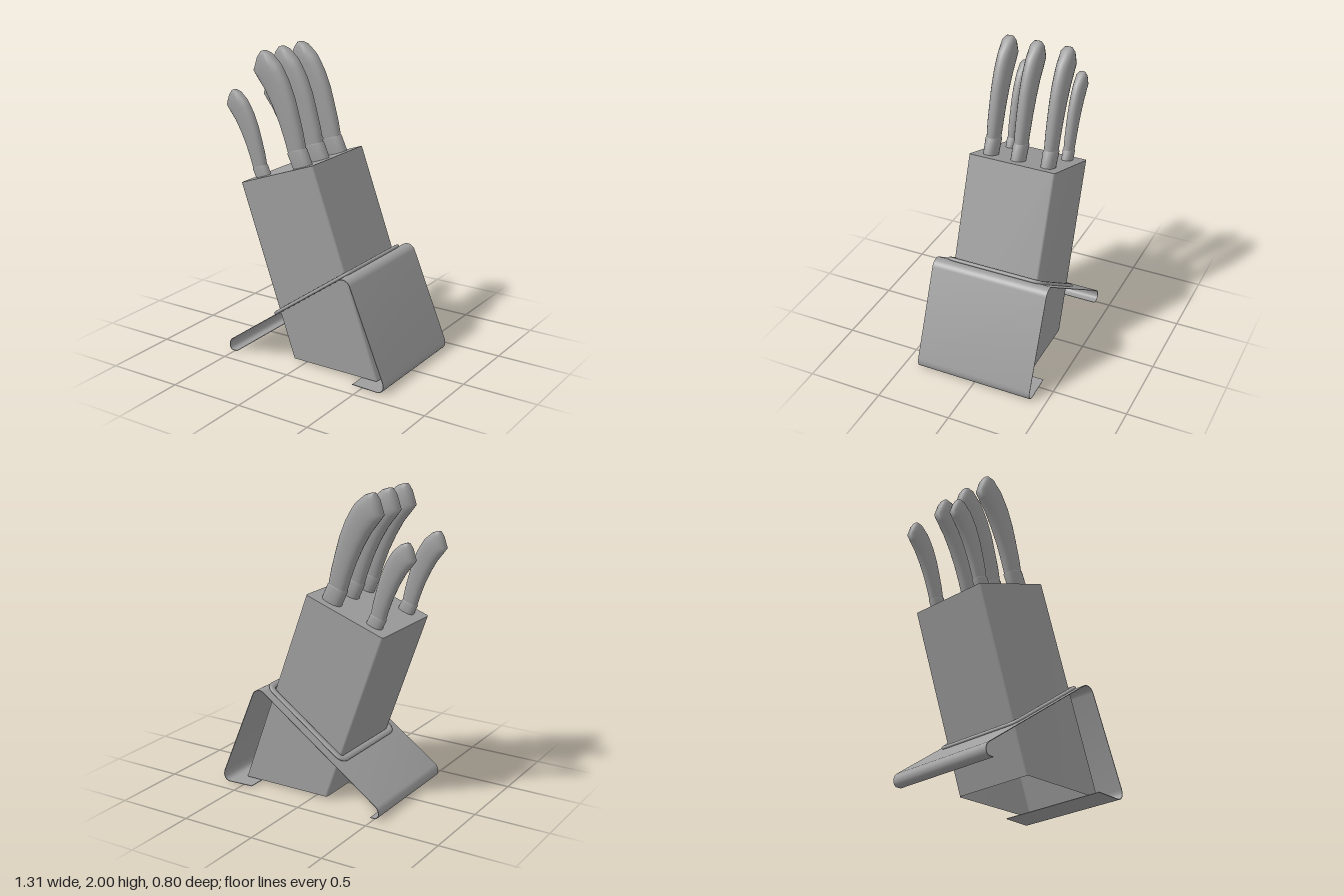
import * as THREE from 'three';
import { toCreasedNormals } from 'three/addons/utils/BufferGeometryUtils.js';

const darkGrey = new THREE.MeshStandardMaterial({ color: 0x9e9e9e });
const darkGreyOpen = new THREE.MeshStandardMaterial({ color: 0x9e9e9e, side: THREE.DoubleSide });

function add(parent, name, geometry, material = darkGrey) {
  const mesh = new THREE.Mesh(geometry, material);
  mesh.name = name;
  parent.add(mesh);
  return mesh;
}

// Unit outlines in [x, z], running from +x towards +z
function superellipse(n, power) {
  const f = (v) => Math.sign(v) * Math.abs(v) ** (2 / power);
  return Array.from({ length: n }, (_, i) => {
    const a = (i / n) * Math.PI * 2;
    return [f(Math.cos(a)), f(Math.sin(a))];
  });
}
function roundedSquare(r, steps) {
  const pts = [];
  [[1, 1], [-1, 1], [-1, -1], [1, -1]].forEach(([sx, sz], k) => {
    for (let i = 0; i <= steps; i++) {
      const a = (k + i / steps) * Math.PI / 2;
      pts.push([sx * (1 - r) + r * Math.cos(a), sz * (1 - r) + r * Math.sin(a)]);
    }
  });
  return pts;
}

// Skin over sections [leftX, leftY, rightX, rightY, halfDepth], listed upwards
function loft(sections, outline) {
  const pos = [], index = [], n = outline.length;
  for (const [lx, ly, rx, ry, w] of sections) {
    for (const [u, v] of outline) {
      pos.push((lx + rx) / 2 + u * (rx - lx) / 2, (ly + ry) / 2 + u * (ry - ly) / 2, v * w);
    }
  }
  for (let i = 0; i < sections.length - 1; i++) {
    for (let j = 0; j < n; j++) {
      const a = i * n + j, b = i * n + (j + 1) % n;
      index.push(a, a + n, b, b, a + n, b + n);
    }
  }
  const g = new THREE.BufferGeometry();
  g.setAttribute('position', new THREE.Float32BufferAttribute(pos, 3));
  g.setIndex(index);
  g.computeVertexNormals();
  return g;
}

// Leaning block, hollow and open underneath
function makeBlock() {
  const block = new THREE.Group();
  block.name = 'block';
  const outline = roundedSquare(0.05, 3);
  const top = [-0.49, 1.145, 0.06, 1.34, 0.295];
  add(block, 'blockWalls', loft([[-0.09, 0.015, 0.545, 0.015, 0.295], top], outline), darkGreyOpen);
  add(block, 'blockTop', loft([top, [-0.215, 1.2425, -0.215, 1.2425, 0]], outline));
  return block;
}

// Bent sheet stand: thin profile extruded across the depth
function makeStand() {
  const path = new THREE.Path();
  path.moveTo(-0.475, 0.008);
  path.lineTo(-0.505, 0.008);
  path.bezierCurveTo(-0.535, 0.008, -0.545, 0.06, -0.512, 0.088);
  path.lineTo(0.325, 0.681);
  path.bezierCurveTo(0.36, 0.7, 0.395, 0.68, 0.405, 0.655);
  path.lineTo(0.648, 0.075);
  path.bezierCurveTo(0.665, 0.03, 0.64, 0.002, 0.61, 0.002);
  path.lineTo(0.43, 0.008);
  const pts = path.getPoints(8);
  const side = (t) => pts.map((p, i) => {
    const d = pts[Math.min(i + 1, pts.length - 1)].clone().sub(pts[Math.max(i - 1, 0)]).normalize();
    return new THREE.Vector2(p.x - d.y * t, p.y + d.x * t);
  });
  const shape = new THREE.Shape([...side(-0.002), ...side(0.002).reverse()]);
  const g = new THREE.ExtrudeGeometry(shape, { depth: 0.8, bevelEnabled: false });
  g.translate(0, 0, -0.4);
  return toCreasedNormals(g, 0.6);
}

// Rounded rectangular bead around the block
function makeRim(hx, hz, r) {
  const V = (x, z) => new THREE.Vector3(x, 0, z);
  const curve = new THREE.CurvePath();
  const corners = [[1, 1], [-1, 1], [-1, -1], [1, -1]];
  corners.forEach(([sx, sz], k) => {
    const [nx, nz] = corners[(k + 1) % 4];
    const alongX = V(sx * (hx - r), sz * hz), alongZ = V(sx * hx, sz * (hz - r));
    const [from, to] = k % 2 ? [alongX, alongZ] : [alongZ, alongX];
    const next = k % 2 ? V(nx * hx, nz * (hz - r)) : V(nx * (hx - r), nz * hz);
    curve.add(new THREE.QuadraticBezierCurve3(from, V(sx * hx, sz * hz), to));
    curve.add(new THREE.LineCurve3(to, next));
  });
  return new THREE.TubeGeometry(curve, 240, 0.022, 12, true);
}

// Curved knife handle with its bolster
function makeKnife(name) {
  const knife = new THREE.Group();
  knife.name = name;
  const outline = superellipse(20, 2.4);
  add(knife, 'bolster', loft([
    [-0.125, 1.23, 0.005, 1.275, 0.043],
    [-0.139, 1.28, -0.008, 1.325, 0.043],
    [-0.179, 1.367, -0.049, 1.413, 0.046],
    [-0.165, 1.384, -0.065, 1.42, 0.034],
  ], outline));
  add(knife, 'handle', loft([
    [-0.172, 1.36, -0.05, 1.402, 0.039],
    [-0.2, 1.45, -0.073, 1.51, 0.043],
    [-0.24, 1.555, -0.103, 1.62, 0.045],
    [-0.29, 1.66, -0.132, 1.72, 0.047],
    [-0.345, 1.755, -0.173, 1.82, 0.049],
    [-0.4, 1.825, -0.21, 1.885, 0.05],
    [-0.432, 1.868, -0.24, 1.93, 0.05],
    [-0.4, 1.955, -0.307, 1.985, 0.044],
    [-0.375, 1.994, -0.345, 1.998, 0.026],
    [-0.363, 2, -0.363, 2, 0],
  ], outline));
  return knife;
}

export function createModel() {
  const model = new THREE.Group();
  model.name = 'knifeBlock';
  model.add(makeBlock());
  add(model, 'stand', makeStand(), darkGreyOpen);

  // Flattened bead lying on the sloping sheet
  const rim = add(model, 'rim', makeRim(0.335, 0.318, 0.05));
  rim.scale.y = 0.55;
  rim.position.set(0.055, 0.501, 0);
  rim.rotation.z = Math.atan(0.709);

  // Three large knives in front, two small ones behind
  for (const z of [-0.197, 0.01, 0.202]) {
    const knife = makeKnife('largeKnife');
    knife.position.z = z;
    model.add(knife);
  }
  for (const z of [-0.2, 0.2]) {
    const knife = makeKnife('smallKnife');
    knife.scale.setScalar(0.79);
    knife.position.set(-0.315, 0.145, z);
    model.add(knife);
  }
  return model;
}
